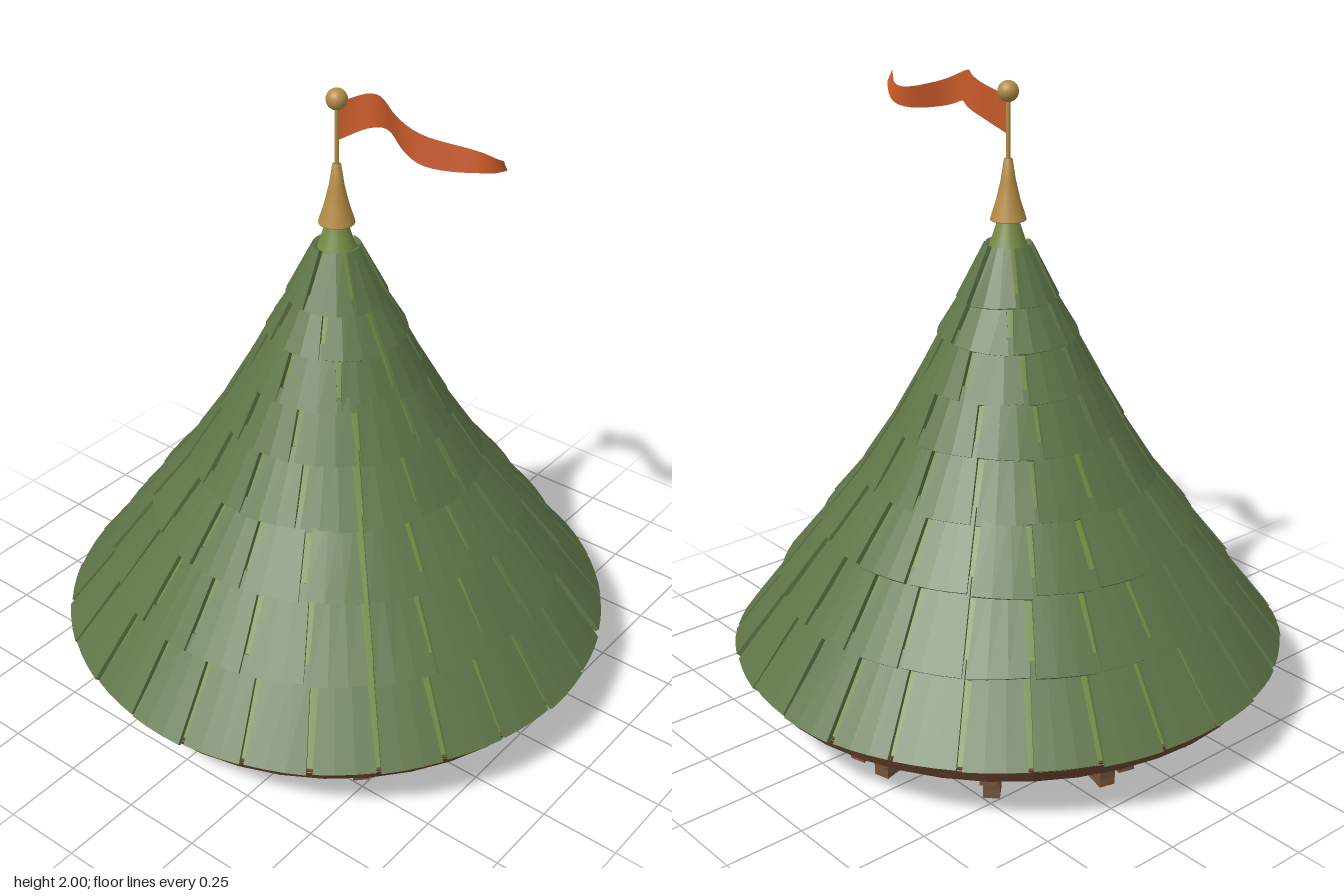
import * as THREE from 'three';

const mat = (name, color, extra = {}) => {
  const m = new THREE.MeshStandardMaterial({ color, ...extra });
  m.name = name;
  return m;
};

export function createModel() {
  const model = new THREE.Group();
  const shingleGreen = mat('shingle green', 0x5f7548);
  const mossGreen = mat('underlay green', 0x748c44);
  const beamBrown = mat('beam brown', 0x6b4831);
  const bracketBrown = mat('bracket brown', 0x775439);
  const gold = mat('gold', 0xb58c45);
  const orange = mat('flag orange', 0xc85a2a, { side: THREE.DoubleSide });

  const add = (name, geometry, material, parent = model) => {
    const mesh = new THREE.Mesh(geometry, material);
    mesh.name = name;
    parent.add(mesh);
    return mesh;
  };

  // seeded jitter in -1..1
  let seed = 7;
  const jitter = () => {
    seed = (seed * 16807) % 2147483647;
    return (seed / 2147483647) * 2 - 1;
  };

  // underlay cone, slightly flared towards the eave
  const profile = [[0.855, 0.2], [0.7, 0.42], [0.56, 0.62], [0.437, 0.78], [0.335, 0.95],
    [0.262, 1.09], [0.195, 1.23], [0.128, 1.34], [0.055, 1.51], [0.025, 1.6]];
  add('roofUnderlay', new THREE.LatheGeometry(profile.map(([r, y]) => new THREE.Vector2(r, y)), 54), mossGreen);
  const underlayRadius = (y) => {
    let i = 0;
    while (i < profile.length - 2 && y > profile[i + 1][1]) i++;
    const [r0, y0] = profile[i], [r1, y1] = profile[i + 1];
    return r0 + (r1 - r0) * (y - y0) / (y1 - y0);
  };

  // one curved shingle: a box bent around the axis
  const thickness = 0.016;
  const shingle = (angle, span, topSpan, r0, y0, r1, y1, skew) => {
    const box = new THREE.BoxGeometry(1, 1, 1, 3, 1, 1);
    const p = box.attributes.position;
    const len = Math.hypot(r0 - r1, y1 - y0);
    const nr = (y1 - y0) / len, ny = (r0 - r1) / len;
    for (let i = 0; i < p.count; i++) {
      const u = p.getX(i), v = p.getY(i) + 0.5, out = (p.getZ(i) - 0.5) * thickness;
      const a = angle + u * (span + (topSpan - span) * v);
      const r = r0 + (r1 - r0) * v + nr * out;
      const y = y0 + (y1 - y0) * v + ny * out + skew * u * (1 - v);
      p.setXYZ(i, Math.sin(a) * r, y, Math.cos(a) * r);
    }
    const flat = box.toNonIndexed();
    flat.computeVertexNormals();
    return flat;
  };

  // shingle rows: [outer radius, bottom height, count]
  const rows = [[0.88, 0.215, 27], [0.73, 0.425, 23], [0.592, 0.62, 19], [0.465, 0.785, 15],
    [0.365, 0.95, 11], [0.287, 1.09, 9], [0.222, 1.23, 7], [0.158, 1.345, 6]];
  rows.forEach(([r, y, count], row) => {
    const group = new THREE.Group();
    group.name = `shingleRow${row + 1}`;
    model.add(group);
    const last = row === rows.length - 1;
    const step = (Math.PI * 2) / count;
    const top = last ? 1.51 : rows[row + 1][1] + 0.04;
    const topR = underlayRadius(top) + thickness + 0.002;
    const start = row % 2 ? step / 2 : Math.PI + step / 2;
    for (let i = 0; i < count; i++) {
      const span = step - 0.016 / r;
      const topSpan = Math.max(step * 0.75, step - 0.024 / topR);
      add('shingle', shingle(start + i * step + jitter() * 0.003 / r, span, topSpan,
        r + jitter() * 0.004, y + jitter() * 0.004, topR, top, jitter() * 0.01), shingleGreen, group);
    }
  });

  // eave beam with closed underside
  const eave = add('eaveBeam', new THREE.CylinderGeometry(0.86, 0.83, 0.055, 40).toNonIndexed(), beamBrown);
  eave.geometry.computeVertexNormals();
  eave.position.y = 0.1825;

  // twelve curved brackets under the eave
  const s = new THREE.Shape();
  s.moveTo(0.61, 0);
  s.lineTo(0.68, 0);
  s.lineTo(0.68, 0.03);
  s.quadraticCurveTo(0.685, 0.115, 0.765, 0.115);
  s.lineTo(0.79, 0.115);
  s.lineTo(0.79, 0.158);
  s.lineTo(0.61, 0.158);
  s.closePath();
  const bracketGeo = new THREE.ExtrudeGeometry(s, { depth: 0.05, bevelEnabled: false, curveSegments: 8 });
  bracketGeo.translate(0, 0, -0.025);
  for (let i = 0; i < 12; i++) {
    add('bracket', bracketGeo, bracketBrown).rotation.y = Math.PI / 12 + (i * Math.PI) / 6;
  }

  // finial spike, pole and ball
  const spike = [[0, 1.58], [0.055, 1.58], [0.055, 1.583], [0.037, 1.64], [0.023, 1.7], [0.013, 1.765], [0, 1.765]];
  add('finialSpike', new THREE.LatheGeometry(spike.map(([r, y]) => new THREE.Vector2(r, y)), 20), gold);
  add('flagPole', new THREE.CylinderGeometry(0.007, 0.007, 0.21, 10), gold).position.y = 1.85;
  add('finialBall', new THREE.SphereGeometry(0.032, 18, 12), gold).position.y = 1.965;

  // waving, tapering pennant
  const spline = (pts) => new THREE.SplineCurve(pts.map(([x, y]) => new THREE.Vector2(x, y)));
  const upper = spline([[0.005, 1.955], [0.085, 1.99], [0.17, 2], [0.25, 1.985], [0.34, 1.945], [0.43, 1.92], [0.51, 1.922], [0.58, 1.945]]);
  const lower = spline([[0.005, 1.84], [0.085, 1.885], [0.17, 1.905], [0.25, 1.895], [0.34, 1.865], [0.43, 1.853], [0.51, 1.868], [0.58, 1.91]]);
  const flag = new THREE.PlaneGeometry(1, 1, 32, 2);
  const fp = flag.attributes.position;
  for (let i = 0; i < fp.count; i++) {
    const t = fp.getX(i) + 0.5, v = fp.getY(i) + 0.5;
    const a = upper.getPoint(t), b = lower.getPoint(t);
    const x = b.x + (a.x - b.x) * v;
    const z = -0.043 * Math.sin((x / 0.38) * Math.PI * 2 + (v - 0.5) * 0.5 * Math.min(1, t * 6));
    fp.setXYZ(i, x, b.y + (a.y - b.y) * v, z);
  }
  flag.computeVertexNormals();
  add('flag', flag, orange);

  return model;
}
